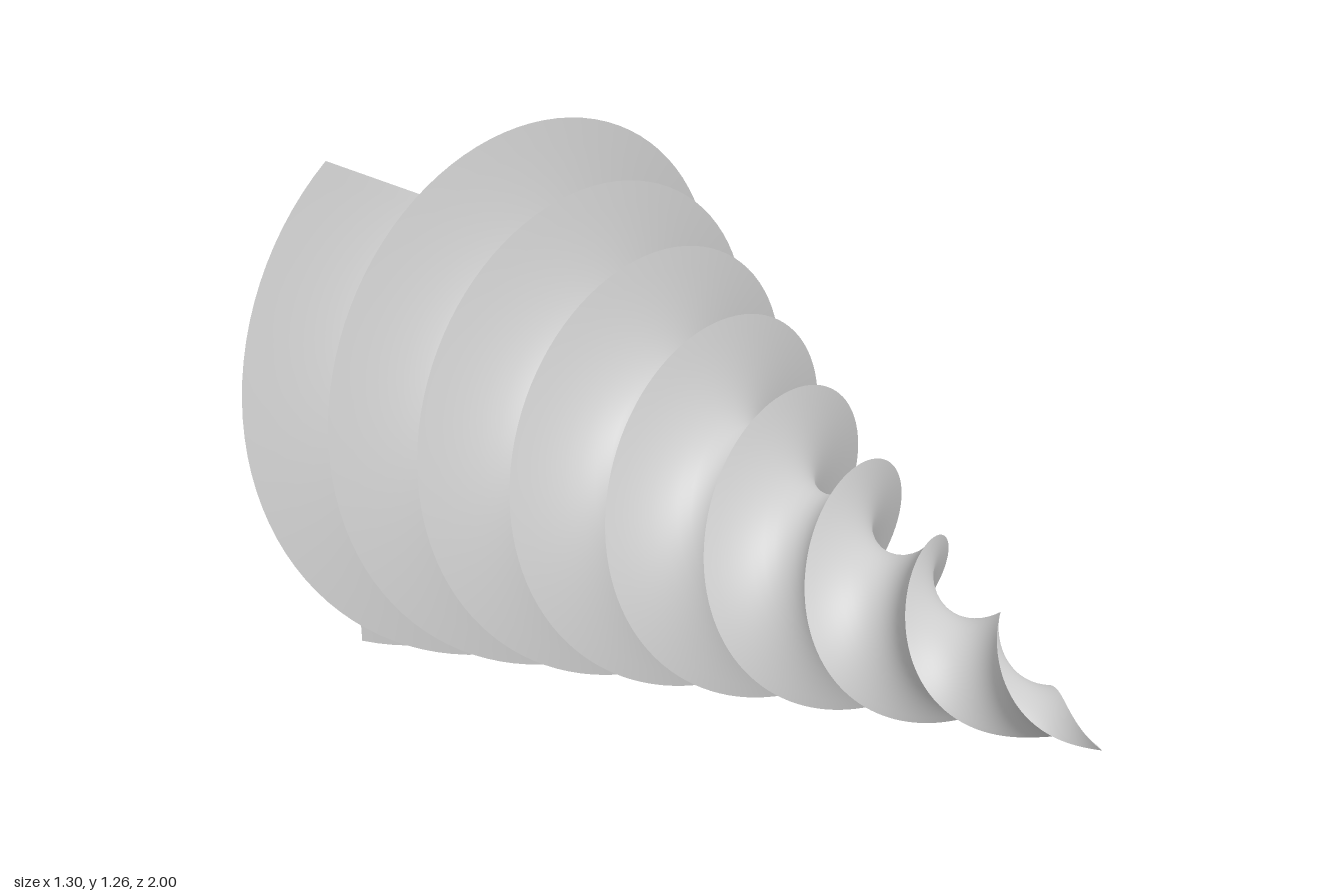
import * as THREE from 'three';
import { ParametricGeometry } from 'three/addons/geometries/ParametricGeometry.js';

const RADIUS = 0.667;         // corner radius of the triangular base
const LENGTH = 2;
const TWIST = Math.PI * 6;    // three full turns from base to tip
const THIRD = Math.PI * 2 / 3;

// Corner of the triangle on the base plane
const corner = (i) => new THREE.Vector2(RADIUS, 0).rotateAround(new THREE.Vector2(), i * THIRD);

export function createModel() {
  const model = new THREE.Group();
  model.name = 'twistedSpike';
  const grey = new THREE.MeshStandardMaterial({ color: 0xcccccc });
  grey.name = 'grey';

  // One twisted, tapering side: u runs corner to corner, v runs base to tip
  const origin = new THREE.Vector2();
  const a = corner(0), b = corner(1), p = new THREE.Vector2();
  const sideGeometry = new ParametricGeometry((u, v, target) => {
    p.lerpVectors(a, b, u).multiplyScalar(1 - v).rotateAround(origin, TWIST * v);
    target.set(p.x, p.y, LENGTH * (v - 0.5));
  }, 16, 300);
  sideGeometry.computeVertexNormals();

  for (let i = 0; i < 3; i++) {
    const side = new THREE.Mesh(sideGeometry, grey);
    side.name = `twistedSide${i + 1}`;
    side.rotation.z = i * THIRD;
    model.add(side);
  }

  // Flat triangular base, facing back
  const base = new THREE.Mesh(
    new THREE.ShapeGeometry(new THREE.Shape([corner(0), corner(1), corner(2)])), grey);
  base.name = 'base';
  base.rotation.y = Math.PI;
  base.rotation.z = Math.PI; // both turns together flip the face and keep x
  base.position.z = -LENGTH / 2;
  model.add(base);

  // Axis offset that centres the widest points and rests the lowest on y = 0
  model.children.forEach((part) => part.position.add(new THREE.Vector3(-0.019, 0.649, 0)));
  return model;
}
